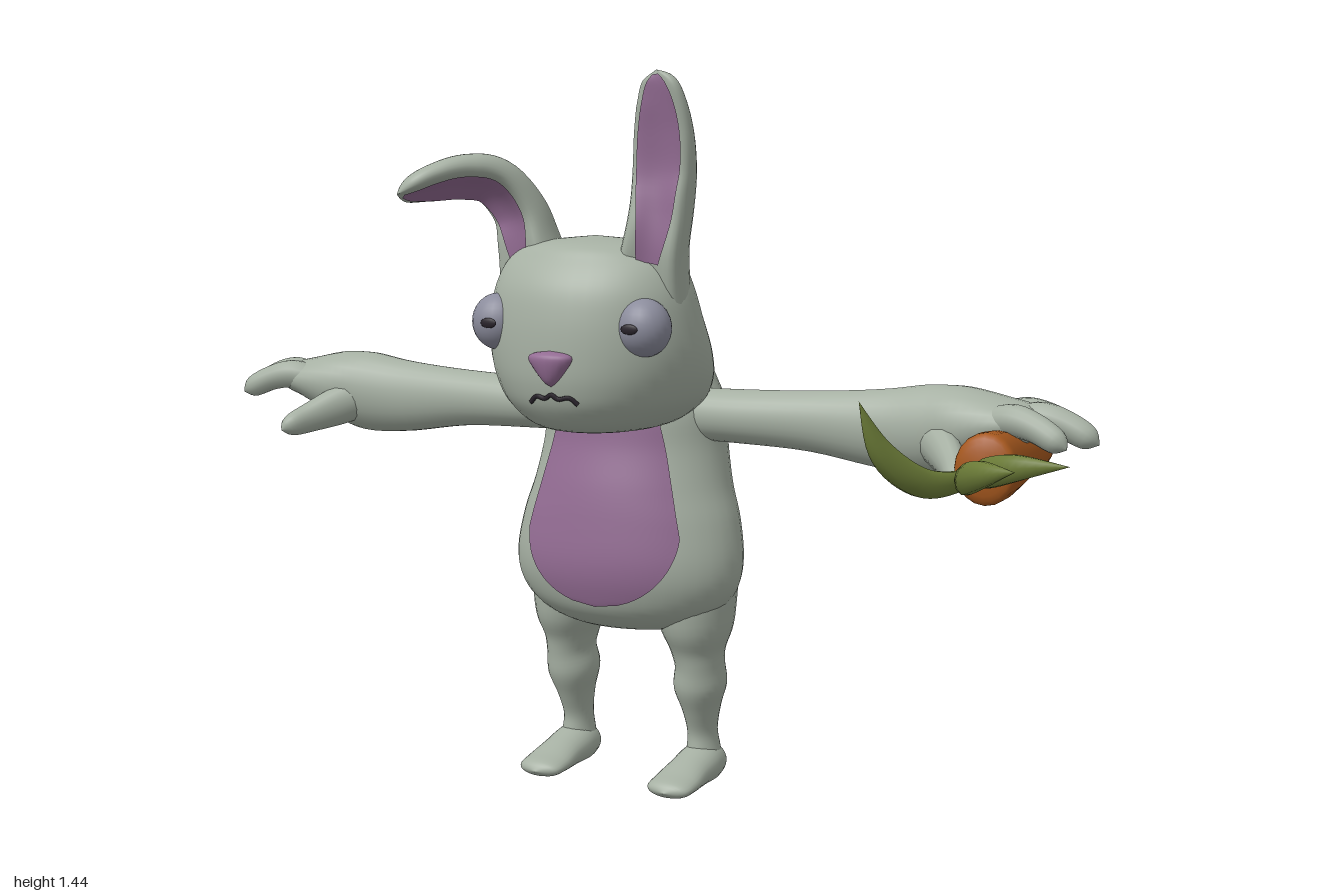
import * as THREE from 'three';
import { mergeVertices } from 'three/addons/utils/BufferGeometryUtils.js';

const V = (x, y, z) => new THREE.Vector3(x, y, z);
const mat = (name, color, side = THREE.FrontSide) => {
  const m = new THREE.MeshStandardMaterial({ color, side });
  m.name = name;
  return m;
};

// Smooth interpolation through rows of numbers, t in 0..1
function sample(rows, t) {
  const n = rows.length - 1, f = Math.min(Math.max(t, 0), 1) * n;
  const i = Math.min(Math.floor(f), n - 1), u = f - i;
  const at = k => rows[Math.min(Math.max(k, 0), n)];
  return rows[0].map((_, k) => {
    const a = at(i - 1)[k], b = at(i)[k], c = at(i + 1)[k], d = at(i + 2)[k];
    return b + 0.5 * u * (c - a + u * (2 * a - 5 * b + 4 * c - d + u * (3 * (b - c) + d - a)));
  });
}

// Swept surface: rows of [x, y, z, radiusA, radiusB]; ref gives the B direction
function sweep(rows, ref, { flat = false, dent = 0, floor = -1 } = {}) {
  return (t, a, offset = 0) => {
    const r = sample(rows, t), p = sample(rows, t - 0.002), q = sample(rows, t + 0.002);
    const T = flat ? V(0, 1, 0) : V(q[0] - p[0], q[1] - p[1], q[2] - p[2]).normalize();
    const B = ref.clone().addScaledVector(T, -ref.dot(T)).normalize();
    const A = B.clone().cross(T);
    const s = Math.sin(a), hollow = s > 0 ? 1 - dent * s * s : 1;
    const point = V(r[0], r[1], r[2])
      .addScaledVector(A, Math.cos(a) * (Math.max(r[3], 0) + offset))
      .addScaledVector(B, s * Math.max(r[4], 0) * hollow + s * offset);
    point.y = Math.max(point.y, floor);
    return point;
  };
}

// Grid of quads over fn(u, v)
function grid(fn, nu, nv) {
  const pos = [], idx = [];
  for (let i = 0; i <= nu; i++)
    for (let j = 0; j <= nv; j++) pos.push(...fn(i / nu, j / nv).toArray());
  for (let i = 0; i < nu; i++)
    for (let j = 0; j < nv; j++) {
      const a = i * (nv + 1) + j, b = a + nv + 1;
      idx.push(a, a + 1, b, a + 1, b + 1, b);
    }
  let g = new THREE.BufferGeometry();
  g.setAttribute('position', new THREE.Float32BufferAttribute(pos, 3));
  g.setIndex(idx);
  g = mergeVertices(g, 1e-5);
  g.computeVertexNormals();
  return g;
}
const solid = (s, nu = 36, nv = 28) => grid((u, v) => s(u, v * Math.PI * 2), nu, nv);

function mirror(geo) {
  const g = geo.clone().scale(-1, 1, 1), ix = g.index.array;
  for (let i = 0; i < ix.length; i += 3) [ix[i], ix[i + 1]] = [ix[i + 1], ix[i]];
  g.computeVertexNormals();
  return g;
}

export function createModel() {
  const fur = mat('grey fur', 0xa6b0a3);
  const pink = mat('mauve skin', 0x936c93, THREE.DoubleSide);
  const eyeGrey = mat('eye grey', 0x8b8c9c);
  const dark = mat('dark line', 0x29232b);
  const orange = mat('carrot orange', 0xa6581e);
  const green = mat('leaf green', 0x6c7c38);

  const model = new THREE.Group(), rabbit = new THREE.Group();
  rabbit.name = 'rabbit';
  rabbit.position.x = -0.03;
  model.add(rabbit);
  const add = (name, geo, m, parent = rabbit) => {
    const mesh = new THREE.Mesh(geo, m);
    mesh.name = name;
    parent.add(mesh);
    return mesh;
  };
  const pair = (name, geo, m) => {
    add('left' + name, geo, m);
    add('right' + name, mirror(geo), m);
  };
  const X = V(1, 0, 0), Y = V(0, 1, 0), Z = V(0, 0, 1);

  // Torso and head from [y, front z, back z, half width]
  const stack = rows => sweep(rows.map(([y, f, b, w]) => [0, y, (f + b) / 2, w, (f - b) / 2]), Z, { flat: true });
  const torsoRows = [
    [0.31, -0.13, -0.13, 0], [0.325, -0.03, -0.22, 0.13], [0.36, 0.02, -0.24, 0.2], [0.41, 0.042, -0.255, 0.24],
    [0.47, 0.05, -0.27, 0.25], [0.55, 0.042, -0.28, 0.237], [0.62, 0.03, -0.285, 0.215], [0.7, 0.01, -0.285, 0.2],
    [0.77, 0, -0.28, 0.195], [0.82, -0.02, -0.265, 0.18], [0.87, -0.05, -0.235, 0.14], [0.9, -0.14, -0.14, 0]];
  const torso = stack(torsoRows);
  add('torso', solid(torso, 55, 40), fur);
  add('head', solid(stack([
    [0.735, 0.03, 0.03, 0], [0.75, 0.14, -0.15, 0.12], [0.79, 0.187, -0.22, 0.185], [0.84, 0.205, -0.225, 0.215],
    [0.9, 0.208, -0.19, 0.225], [0.97, 0.203, -0.145, 0.218], [1.03, 0.188, -0.115, 0.205], [1.08, 0.155, -0.09, 0.18],
    [1.11, 0.12, -0.07, 0.13], [1.125, 0.03, 0.03, 0]]), 50, 40), fur);

  // Belly patch lying just over the torso
  add('belly', grid((u, v) => {
    const t = 0.223 + u * 0.495, [y, , , w] = sample(torsoRows, t);
    const half = y < 0.53 ? 0.17 * Math.sqrt(Math.max(0, 1 - ((y - 0.53) / 0.148) ** 2)) : 0.17 - 0.25 * (y - 0.53);
    return torso(t, Math.PI / 2 + (v * 2 - 1) * Math.asin(half / w), 0.004);
  }, 36, 20), pink);

  add('tail', new THREE.SphereGeometry(1, 20, 14).scale(0.083, 0.078, 0.078).translate(0, 0.408, -0.307), fur);

  // Legs and feet
  pair('Leg', solid(sweep([
    [0.14, 0.42, -0.13, 0.09, 0.1], [0.148, 0.33, -0.13, 0.073, 0.09], [0.15, 0.28, -0.132, 0.055, 0.068],
    [0.152, 0.245, -0.135, 0.049, 0.062], [0.15, 0.2, -0.142, 0.053, 0.064], [0.149, 0.15, -0.15, 0.038, 0.05],
    [0.148, 0.1, -0.157, 0.03, 0.038], [0.149, 0.06, -0.16, 0.034, 0.042], [0.15, 0.02, -0.16, 0.045, 0.043]], Z)), fur);
  pair('Foot', solid(sweep([
    [0.15, 0.03, -0.206, 0, 0], [0.15, 0.03, -0.195, 0.035, 0.03], [0.15, 0.03, -0.15, 0.047, 0.042],
    [0.15, 0.025, -0.09, 0.047, 0.034], [0.15, 0.018, -0.03, 0.05, 0.023], [0.15, 0.014, 0.01, 0.043, 0.016],
    [0.15, 0.012, 0.026, 0, 0]], Y, { floor: 0 })), fur);

  // Arms with three fingers and a thumb
  pair('Arm', solid(sweep([
    [0.12, 0.765, -0.12, 0.05, 0.053], [0.24, 0.765, -0.12, 0.053, 0.054], [0.4, 0.765, -0.12, 0.05, 0.06],
    [0.55, 0.76, -0.12, 0.056, 0.077], [0.65, 0.765, -0.12, 0.07, 0.086], [0.72, 0.778, -0.12, 0.083, 0.074],
    [0.8, 0.788, -0.12, 0.083, 0.046], [0.85, 0.788, -0.12, 0.06, 0.03], [0.87, 0.785, -0.12, 0, 0]], Y)), fur);
  for (const [label, x, z0, z1] of [['Back', 0.925, -0.165, -0.203], ['Middle', 0.967, -0.12, -0.115], ['Front', 0.932, -0.075, -0.028]]) {
    const at = (k, y, r) => [x - 0.16 * (1 - k), y, z0 + (z1 - z0) * k, r, r * 1.05];
    pair(label + 'Finger', solid(sweep([at(0, 0.79, 0.026), at(0.3, 0.8, 0.029), at(0.6, 0.79, 0.026),
      at(0.88, 0.768, 0.021), at(1, 0.757, 0)], Y), 18, 14), fur);
  }
  pair('Thumb', solid(sweep([
    [0.64, 0.76, -0.1, 0.03, 0.04], [0.69, 0.738, -0.055, 0.032, 0.042], [0.73, 0.715, 0, 0.026, 0.032],
    [0.752, 0.7, 0.045, 0.02, 0.022], [0.76, 0.692, 0.063, 0, 0]], Y), 20, 14), fur);

  // Hollow ears, one upright and one folded forward, with mauve linings
  const ear = (side, rows, t0, t1) => {
    const s = sweep(rows, V(0, -1, 1), { dent: 0.6 });
    add(side + 'Ear', solid(s, 44, 36), fur);
    add(side + 'EarLining', grid((u, v) => {
      const w = 1.02 * Math.sqrt(Math.sin(Math.PI * (0.06 + 0.88 * u)));
      return s(t0 + u * (t1 - t0), Math.PI / 2 + (v * 2 - 1) * w * 0.75, 0.004);
    }, 30, 12), pink);
  };
  ear('left', [
    [0.13, 1.0, 0.05, 0.08, 0.09], [0.15, 1.1, 0.066, 0.063, 0.09], [0.163, 1.18, 0.065, 0.06, 0.075],
    [0.168, 1.25, 0.063, 0.062, 0.058], [0.172, 1.32, 0.074, 0.06, 0.042], [0.174, 1.38, 0.088, 0.05, 0.03],
    [0.172, 1.42, 0.097, 0.034, 0.02], [0.17, 1.438, 0.102, 0, 0]], 0.12, 0.93);
  ear('right', [
    [-0.12, 1.0, 0.045, 0.08, 0.09], [-0.138, 1.1, 0.055, 0.062, 0.075], [-0.155, 1.17, 0.065, 0.058, 0.055],
    [-0.188, 1.225, 0.1, 0.06, 0.046], [-0.225, 1.236, 0.15, 0.063, 0.04], [-0.262, 1.226, 0.21, 0.056, 0.032],
    [-0.285, 1.213, 0.255, 0.037, 0.022], [-0.297, 1.205, 0.28, 0, 0]], 0.12, 0.93);

  // Face
  pair('Eye', new THREE.SphereGeometry(1, 24, 18).scale(0.054, 0.056, 0.05).translate(0.161, 0.957, 0.132), eyeGrey);
  pair('Pupil', new THREE.SphereGeometry(1, 14, 8).scale(0.018, 0.01, 0.004).translate(0.155, 0.957, 0.181), dark);
  add('nose', solid(sweep([
    [0, 0.843, 0.205, 0, 0], [0, 0.853, 0.207, 0.014, 0.012], [0, 0.875, 0.208, 0.033, 0.02],
    [0, 0.897, 0.208, 0.047, 0.023], [0, 0.907, 0.207, 0.036, 0.017], [0, 0.912, 0.206, 0, 0]], Z, { flat: true }), 20, 20), pink);
  const mouth = new THREE.CatmullRomCurve3([
    V(-0.052, 0.81, 0.193), V(-0.036, 0.823, 0.199), V(-0.014, 0.82, 0.204), V(0, 0.828, 0.206),
    V(0.014, 0.82, 0.204), V(0.036, 0.823, 0.199), V(0.052, 0.81, 0.193)]);
  add('mouth', new THREE.TubeGeometry(mouth, 30, 0.0045, 6), dark);

  // Carrot held in the left hand
  const carrot = new THREE.Group();
  carrot.name = 'carrot';
  model.add(carrot);
  add('carrotRoot', solid(sweep([
    [0.742, 0.707, -0.372, 0, 0], [0.743, 0.707, -0.365, 0.032, 0.032], [0.746, 0.708, -0.33, 0.042, 0.04],
    [0.755, 0.713, -0.2, 0.048, 0.05], [0.768, 0.719, -0.07, 0.055, 0.06], [0.778, 0.724, 0.03, 0.057, 0.066],
    [0.78, 0.725, 0.068, 0.051, 0.058], [0.781, 0.725, 0.08, 0, 0]], Y), 36, 20), orange, carrot);
  const leaves = [
    [[0.775, 0.725, 0.06], [0.758, 0.715, 0.16], [0.72, 0.725, 0.24], [0.675, 0.78, 0.3], [0.647, 0.87, 0.337]],
    [[0.78, 0.725, 0.06], [0.788, 0.722, 0.17], [0.815, 0.74, 0.27], [0.865, 0.762, 0.335], [0.93, 0.775, 0.37]],
    [[0.785, 0.725, 0.06], [0.8, 0.728, 0.14], [0.835, 0.745, 0.215], [0.9, 0.765, 0.26], [0.992, 0.775, 0.272]]];
  leaves.forEach((path, i) => {
    const size = [0.45, 0.75, 1, 0.85, 0];
    add('carrotLeaf' + (i + 1), solid(sweep(path.map((p, k) => [...p, 0.019 * size[k], 0.027 * size[k]]), Y), 26, 10), green, carrot);
  });
  return model;
}
